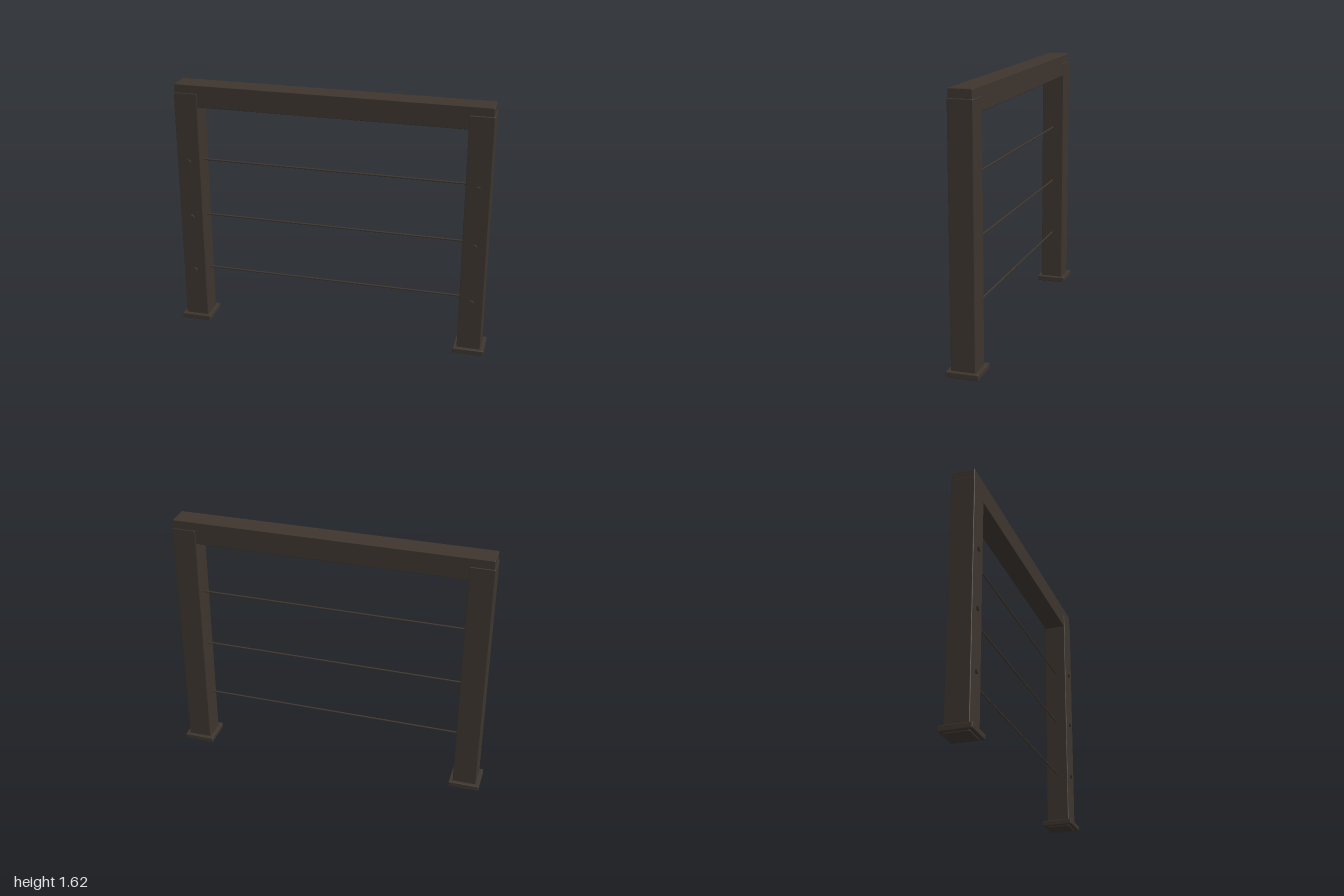
import * as THREE from 'three';
import { RoundedBoxGeometry } from 'three/addons/geometries/RoundedBoxGeometry.js';

export function createModel() {
  const model = new THREE.Group();
  model.name = 'cableRailing';
  const bronze = new THREE.MeshStandardMaterial({ color: 0x3d352e });
  bronze.name = 'dark bronze';

  const add = (name, geometry, x, y, z) => {
    const mesh = new THREE.Mesh(geometry, bronze);
    mesh.name = name;
    mesh.position.set(x, y, z);
    model.add(mesh);
    return mesh;
  };
  // softened box spanning y0 to y1
  const block = (name, w, y0, y1, d, x) =>
    add(name, new RoundedBoxGeometry(w, y1 - y0, d, 2, 0.005), x, (y0 + y1) / 2, 0);

  const postX = 0.903;
  const cableHeights = [0.365, 0.742, 1.117];

  // top rail
  block('topRail', 1.944, 1.475, 1.616, 0.139, 0);

  for (const [side, label] of [[1, 'left'], [-1, 'right']]) {
    // post with foot plate
    block(label + 'Post', 0.148, 0, 1.562, 0.146, side * postX);
    block(label + 'FootPlate', 0.193, 0.008, 0.042, 0.193, side * postX);
    // bolt heads on the front of the post
    for (const y of cableHeights) {
      const bolt = add(label + 'Bolt', new THREE.CylinderGeometry(0.016, 0.016, 0.016, 16), side * postX, y, 0.078);
      bolt.rotation.x = Math.PI / 2;
    }
  }

  // horizontal cables running into both posts
  for (const y of cableHeights) {
    const cable = add('cable', new THREE.CylinderGeometry(0.006, 0.006, 1.74, 12), 0, y, 0);
    cable.rotation.z = Math.PI / 2;
  }
  return model;
}
